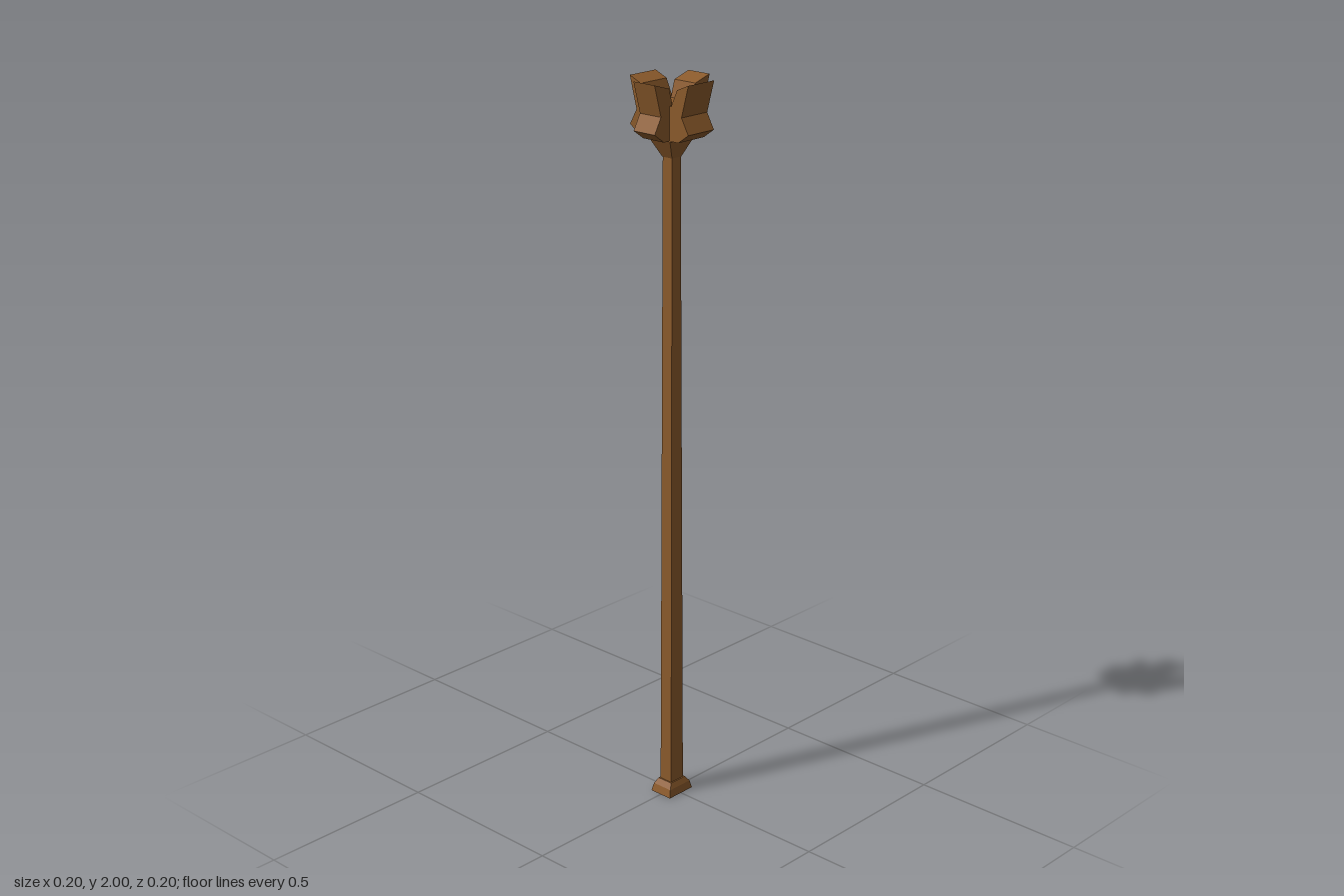
import * as THREE from 'three';

const wood = new THREE.MeshStandardMaterial({ color: 0x8b5a2b, flatShading: true });

// Rectangular post shaped by rows of [y, half width, half depth], bottom to top
function loft(name, rows) {
  const n = rows.length - 1;
  const geometry = new THREE.BoxGeometry(2, 1, 2, 1, n, 1);
  const p = geometry.attributes.position;
  for (let i = 0; i < p.count; i++) {
    const [y, w, d] = rows[Math.round((p.getY(i) + 0.5) * n)];
    p.setXYZ(i, Math.sign(p.getX(i)) * w, y, Math.sign(p.getZ(i)) * d);
  }
  geometry.computeVertexNormals();
  const mesh = new THREE.Mesh(geometry, wood);
  mesh.name = name;
  return mesh;
}

// Flared arm with a notched outer end, its profile given as [reach, y]
function arm(name, profile, width, angle) {
  const shape = new THREE.Shape(profile.map(([r, y]) => new THREE.Vector2(r, y)));
  const geometry = new THREE.ExtrudeGeometry(shape, { depth: width, bevelEnabled: false });
  geometry.translate(0, 0, -width / 2);
  const mesh = new THREE.Mesh(geometry, wood);
  mesh.name = name;
  mesh.rotation.y = angle;
  return mesh;
}

export function createModel() {
  const staff = new THREE.Group();
  staff.name = 'staff';

  // Foot and tapering shaft
  staff.add(loft('foot', [[0, 0.045, 0.035], [0.022, 0.039, 0.031], [0.037, 0.028, 0.024]]));
  staff.add(loft('shaft', [[0.03, 0.024, 0.02], [1.81, 0.016, 0.016]]));

  // Head: flared collar and core
  const head = new THREE.Group();
  head.name = 'head';
  head.add(loft('collar', [[1.8, 0.017, 0.017], [1.85, 0.045, 0.036]]));
  head.add(loft('core', [[1.85, 0.045, 0.042], [1.94, 0.036, 0.043]]));

  // Four arms around a sunken top
  const outer = [[0.1, 2], [0.077, 1.917], [0.1, 1.876], [0.066, 1.852]];
  const longArm = [[0.03, 1.853], [0.03, 1.94], [0.042, 1.94], [0.062, 1.984], ...outer].reverse();
  const sideArm = [[0.03, 1.853], [0.03, 1.94], [0.035, 1.94], [0.048, 1.984], ...outer].reverse();
  head.add(arm('frontArm', longArm, 0.094, -Math.PI / 2));
  head.add(arm('backArm', longArm, 0.094, Math.PI / 2));
  head.add(arm('leftArm', sideArm, 0.072, 0));
  head.add(arm('rightArm', sideArm, 0.072, Math.PI));
  staff.add(head);

  return staff;
}
